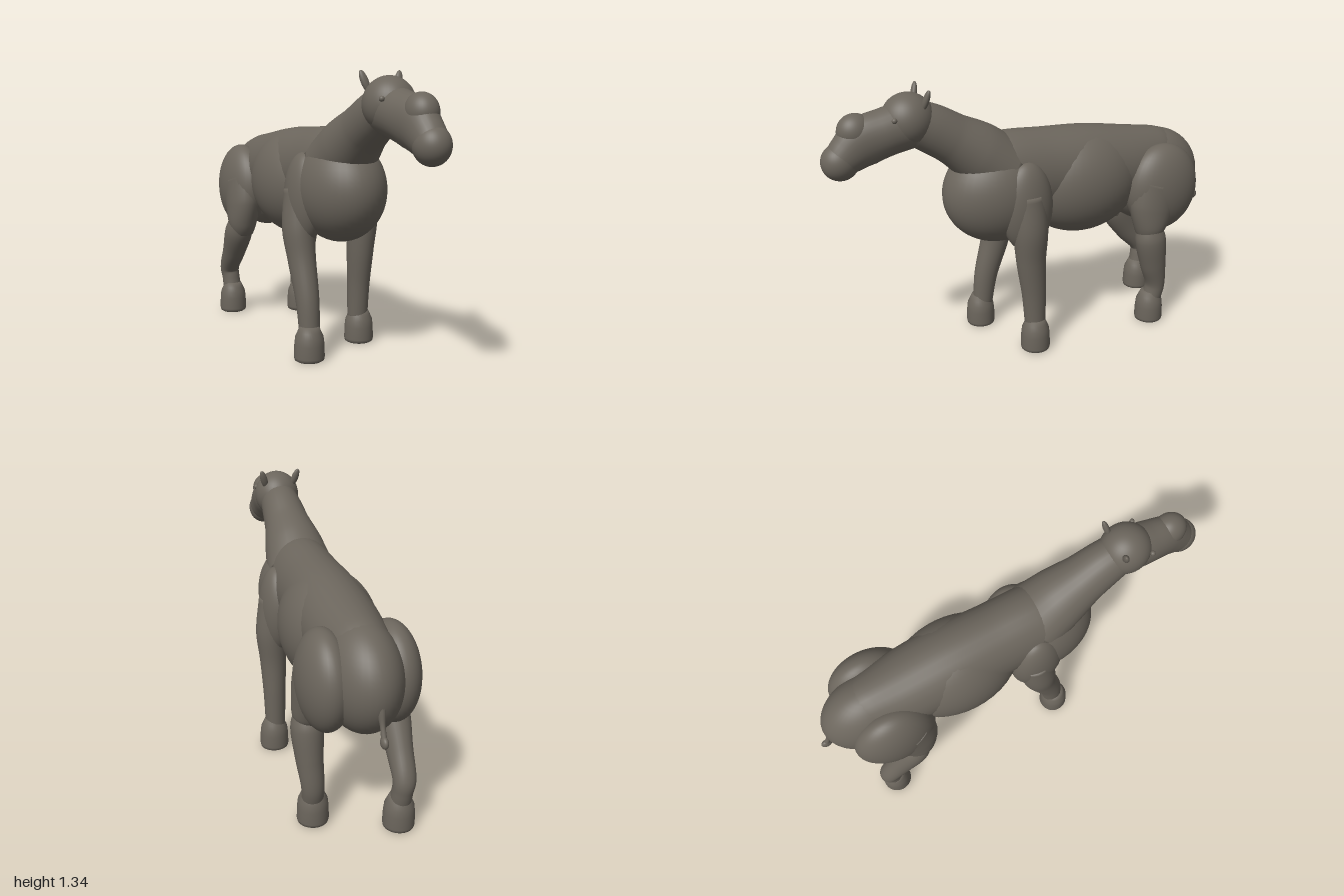
import * as THREE from 'three';

const hide = new THREE.MeshStandardMaterial({ color: 0x6b655c });
hide.name = 'greyBrownHide';

function add(group, name, geometry) {
  const mesh = new THREE.Mesh(geometry, hide);
  mesh.name = name;
  group.add(mesh);
  return mesh;
}

// Ellipsoid at p with radii r, pitched about x
function ellipsoid(group, name, p, r, pitch = 0) {
  const mesh = add(group, name, new THREE.SphereGeometry(1, 40, 28));
  mesh.position.set(...p);
  mesh.scale.set(...r);
  mesh.rotation.x = pitch;
  return mesh;
}

// Smooth limb through sections [x, y, z, half width, half depth]
function loft(sections, steps = 32, sides = 28) {
  const path = new THREE.CatmullRomCurve3(sections.map(s => new THREE.Vector3(s[0], s[1], s[2])));
  const size = new THREE.CatmullRomCurve3(sections.map(s => new THREE.Vector3(s[3], s[4], 0)));
  const pos = [], idx = [];
  for (let i = 0; i <= steps; i++) {
    const t = i / steps, c = path.getPoint(t), r = size.getPoint(t), d = path.getTangent(t);
    const n = new THREE.Vector3(0, d.z, -d.y).normalize();
    for (let k = 0; k < sides; k++) {
      const a = k / sides * Math.PI * 2, s = Math.sin(a) * r.y;
      pos.push(c.x + Math.cos(a) * r.x, c.y + n.y * s, c.z + n.z * s);
      if (i < steps) {
        const p = i * sides + k, p1 = i * sides + (k + 1) % sides;
        idx.push(p, p1, p1 + sides, p, p1 + sides, p + sides);
      }
    }
  }
  const first = pos.length / 3, last = steps * sides;
  pos.push(...path.getPoint(0).toArray(), ...path.getPoint(1).toArray());
  for (let k = 0; k < sides; k++) {
    const k1 = (k + 1) % sides;
    idx.push(first, k1, k, first + 1, last + k, last + k1);
  }
  const g = new THREE.BufferGeometry();
  g.setAttribute('position', new THREE.Float32BufferAttribute(pos, 3));
  g.setIndex(idx);
  g.computeVertexNormals();
  return g;
}

// Broad foot with a rounded sole edge
function foot(group, name, x, z) {
  const profile = [[0, 0], [0.06, 0], [0.07, 0.006], [0.073, 0.02], [0.071, 0.08], [0.067, 0.115],
    [0.056, 0.14], [0.045, 0.165], [0, 0.17]].map(p => new THREE.Vector2(...p));
  add(group, name, new THREE.LatheGeometry(profile, 32)).position.set(x, 0, z);
}

export function createModel() {
  const model = new THREE.Group();
  model.name = 'hornlessGrazer';

  // Torso: chest, barrel and rump joined by a tapering back
  ellipsoid(model, 'chest', [0, 0.8, 0.18], [0.205, 0.25, 0.275]);
  ellipsoid(model, 'barrel', [0, 0.79, -0.26], [0.222, 0.268, 0.32]);
  ellipsoid(model, 'rump', [0, 0.75, -0.68], [0.17, 0.245, 0.265]);
  add(model, 'back', loft([
    [0, 0.86, 0.34, 0.11, 0.13], [0, 0.88, 0.17, 0.165, 0.208], [0, 0.87, -0.05, 0.17, 0.208],
    [0, 0.86, -0.27, 0.18, 0.205], [0, 0.84, -0.48, 0.175, 0.193], [0, 0.81, -0.68, 0.15, 0.192],
    [0, 0.79, -0.83, 0.1, 0.135], [0, 0.78, -0.92, 0.04, 0.05]], 48));

  // Neck
  add(model, 'neck', loft([
    [0, 0.91, 0.16, 0.17, 0.15], [0, 1.01, 0.29, 0.145, 0.142], [0, 1.09, 0.41, 0.115, 0.117],
    [0, 1.15, 0.51, 0.102, 0.111], [0, 1.19, 0.6, 0.09, 0.1]]));

  // Head
  ellipsoid(model, 'cranium', [0, 1.2, 0.605], [0.113, 0.12, 0.12]);
  add(model, 'snout', loft([
    [0, 1.18, 0.6, 0.1, 0.11], [0, 1.155, 0.71, 0.095, 0.108], [0, 1.125, 0.81, 0.083, 0.112],
    [0, 1.08, 0.88, 0.076, 0.092], [0, 1.05, 0.92, 0.073, 0.075]]));
  ellipsoid(model, 'noseBridge', [0, 1.175, 0.84], [0.07, 0.08, 0.08]);
  ellipsoid(model, 'muzzle', [0, 1.05, 0.915], [0.077, 0.083, 0.083]);

  for (const [side, s] of [['left', 1], ['right', -1]]) {
    ellipsoid(model, side + 'Eye', [s * 0.089, 1.225, 0.69], [0.012, 0.012, 0.012]);
    const ear = ellipsoid(model, side + 'Ear', [s * 0.083, 1.295, 0.545], [0.018, 0.05, 0.014], -0.25);
    ear.rotation.z = -s * 0.3;
    // Shoulders and haunches
    ellipsoid(model, side + 'Shoulder', [s * 0.145, 0.75, 0.1], [0.085, 0.22, 0.13]);
    ellipsoid(model, side + 'Haunch', [s * 0.15, 0.73, -0.65], [0.115, 0.226, 0.2]);
  }

  // Left foreleg stands straight, right foreleg steps forward
  add(model, 'leftForeleg', loft([
    [0.16, 0.82, 0.1, 0.07, 0.08], [0.175, 0.65, 0.095, 0.075, 0.085], [0.17, 0.48, 0.09, 0.065, 0.073],
    [0.17, 0.3, 0.075, 0.055, 0.06], [0.17, 0.12, 0.068, 0.05, 0.05]]));
  foot(model, 'leftForefoot', 0.177, 0.07);
  add(model, 'rightForeleg', loft([
    [-0.16, 0.8, 0.08, 0.07, 0.08], [-0.175, 0.62, 0.1, 0.075, 0.085], [-0.172, 0.47, 0.13, 0.066, 0.073],
    [-0.17, 0.28, 0.185, 0.055, 0.06], [-0.17, 0.12, 0.207, 0.048, 0.05]]));
  foot(model, 'rightForefoot', -0.177, 0.217);

  // Left hind leg stands, right hind leg trails behind
  add(model, 'leftThigh', loft([
    [0.16, 0.76, -0.62, 0.1, 0.15], [0.175, 0.64, -0.585, 0.088, 0.125], [0.185, 0.54, -0.57, 0.075, 0.085],
    [0.185, 0.49, -0.565, 0.06, 0.06]]));
  add(model, 'leftShank', loft([
    [0.19, 0.55, -0.565, 0.06, 0.06], [0.195, 0.47, -0.575, 0.073, 0.08], [0.193, 0.33, -0.6, 0.062, 0.068],
    [0.185, 0.2, -0.625, 0.052, 0.05], [0.18, 0.11, -0.605, 0.05, 0.05]]));
  foot(model, 'leftHindFoot', 0.177, -0.6);
  add(model, 'rightThigh', loft([
    [-0.16, 0.76, -0.62, 0.1, 0.15], [-0.175, 0.64, -0.58, 0.088, 0.125], [-0.185, 0.54, -0.57, 0.075, 0.085],
    [-0.185, 0.48, -0.58, 0.06, 0.06]]));
  add(model, 'rightShank', loft([
    [-0.19, 0.57, -0.56, 0.06, 0.06], [-0.195, 0.48, -0.605, 0.073, 0.078], [-0.193, 0.36, -0.685, 0.06, 0.068],
    [-0.188, 0.245, -0.768, 0.052, 0.05], [-0.182, 0.19, -0.765, 0.048, 0.05], [-0.178, 0.11, -0.75, 0.05, 0.05]]));
  foot(model, 'rightHindFoot', -0.177, -0.75);

  // Tail with a tufted tip
  add(model, 'tail', loft([
    [0, 0.8, -0.91, 0.022, 0.025], [0, 0.7, -0.925, 0.018, 0.022], [0, 0.64, -0.945, 0.011, 0.012],
    [0, 0.59, -0.965, 0.012, 0.013]], 20, 14));
  ellipsoid(model, 'tailTuft', [0, 0.585, -0.966], [0.016, 0.026, 0.027]);

  return model;
}
